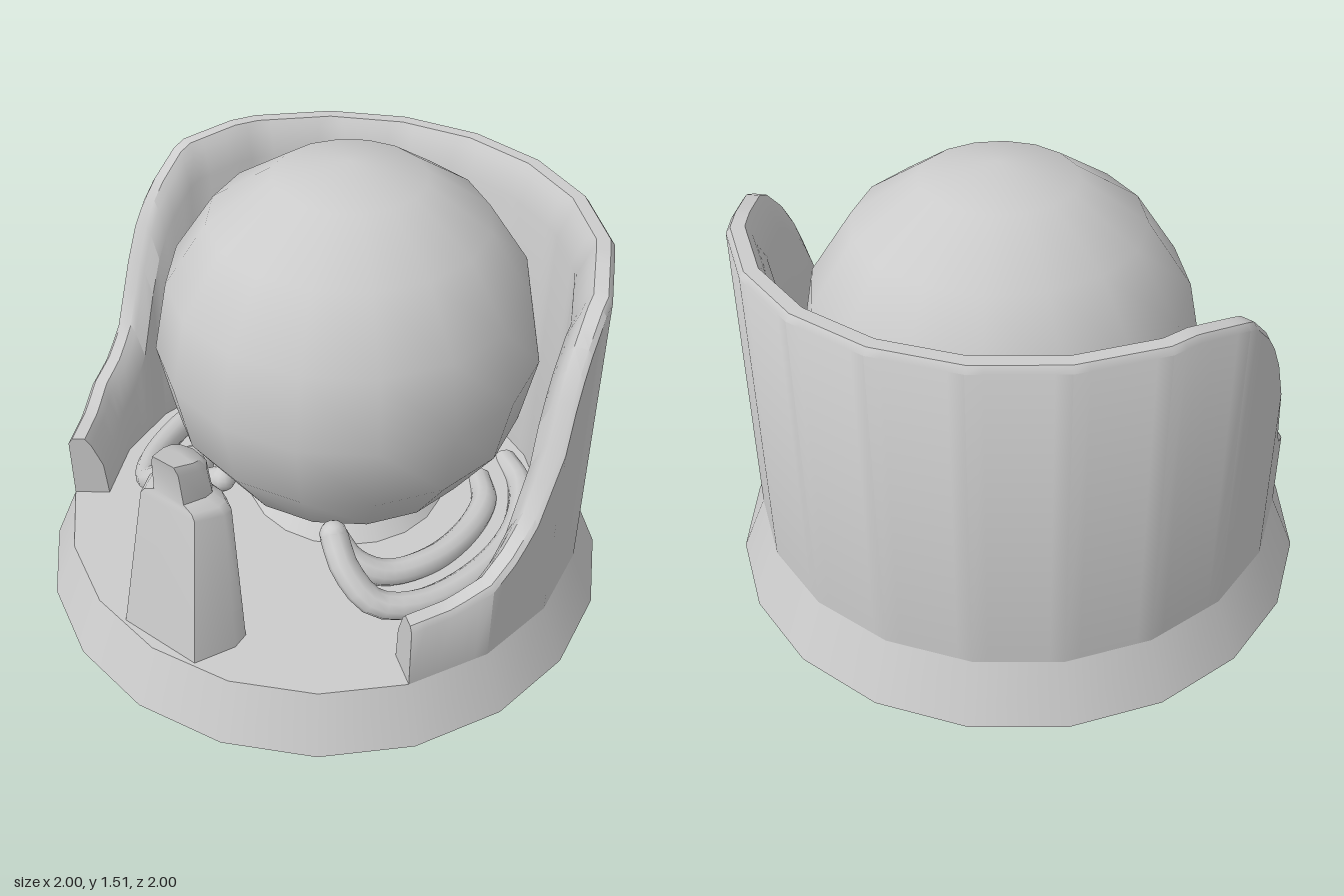
import * as THREE from 'three';
import { toCreasedNormals } from 'three/addons/utils/BufferGeometryUtils.js';

const SIDES = 20, STEP = (Math.PI * 2) / SIDES, DEG = Math.PI / 180;
const BALL = { r: 0.655, y: 0.855, z: -0.13 };

// Point on a 20-sided outline; angle runs from +x towards the back
function onOutline(r, a) {
  const t = (((a % STEP) + STEP) % STEP) - STEP / 2;
  const d = (r * Math.cos(STEP / 2)) / Math.cos(t);
  return [d * Math.cos(a), d * Math.sin(a)];
}

// Skins a list of cross-sections, optionally closing the rings and ends
function loft(rings, { closed = false, capStart = false, capEnd = false, crease = 40 } = {}) {
  const pos = [];
  const n = rings[0].length;
  const tri = (...pts) => pts.forEach((p) => pos.push(p.x, p.y, p.z));
  for (let i = 0; i < rings.length - 1; i++) {
    for (let j = 0; j < (closed ? n : n - 1); j++) {
      const k = (j + 1) % n, a = rings[i], b = rings[i + 1];
      tri(a[j], b[j], b[k]);
      tri(a[j], b[k], a[k]);
    }
  }
  const cap = (ring, flip) => {
    const c = ring.reduce((s, p) => s.add(p), new THREE.Vector3()).divideScalar(n);
    for (let j = 0; j < n; j++) {
      const k = (j + 1) % n;
      if (flip) tri(c, ring[k], ring[j]);
      else tri(c, ring[j], ring[k]);
    }
  };
  if (capStart) cap(rings[0], false);
  if (capEnd) cap(rings[rings.length - 1], true);
  const g = new THREE.BufferGeometry();
  g.setAttribute('position', new THREE.Float32BufferAttribute(pos, 3));
  return toCreasedNormals(g, crease * DEG);
}

// Wall height against depth: low at the front arms, sweeping up to the back
const WALL_TOP = [[0.54, 0.45], [0.4, 0.455], [0.28, 0.5], [0.19, 0.55], [0.1, 0.64], [0, 0.88],
  [-0.06, 1.05], [-0.13, 1.15], [-0.25, 1.26], [-0.45, 1.3], [-1, 1.3]];
function wallTop(z) {
  if (z >= WALL_TOP[0][0]) return WALL_TOP[0][1];
  const i = WALL_TOP.findIndex(([d]) => d <= z);
  const [z0, y0] = WALL_TOP[i - 1], [z1, y1] = WALL_TOP[i];
  return y0 + ((y1 - y0) * (z - z0)) / (z1 - z0);
}

function wallGeometry() {
  const rings = [];
  for (let a = -36; a <= 216; a += 3) {
    const h = wallTop(-onOutline(0.915, a * DEG)[1]);
    const profile = [[0.915, 0.2], [0.915, h - 0.02], [0.9, h], [0.855, h],
      [0.835, h - 0.03], [0.8, h - 0.12], [0.79, 0.2]];
    rings.push(profile.map(([r, y]) => {
      const [x, s] = onOutline(r, a * DEG);
      return new THREE.Vector3(x, y, -s);
    }));
  }
  return loft(rings, { capStart: true, capEnd: true });
}

// Post cross-section: flat front, rounded back
function postRing([halfWidth, zBack, zFront, yBack, yFront]) {
  const half = [[0.65, 0.08], [0.97, 0.27], [1, 0.5], [0.72, 1]];
  const outline = [[0, 0], ...half, ...half.map(([u, v]) => [-u, v]).reverse()];
  return outline.map(([u, v]) => new THREE.Vector3(
    u * halfWidth, yBack + (yFront - yBack) * v, zBack + (zFront - zBack) * v));
}

function floorGeometry(postBase) {
  const shape = new THREE.Shape();
  const pts = [];
  for (let a = -36; a <= 216; a += 18) pts.push(onOutline(0.79, a * DEG));
  for (let a = 216; a <= 324; a += 18) pts.push(onOutline(0.915, a * DEG));
  shape.setFromPoints(pts.map(([x, y]) => new THREE.Vector2(x, y)));
  shape.holes.push(new THREE.Path(postBase.map((p) => new THREE.Vector2(p.x, -p.z))));
  shape.holes.push(new THREE.Path().absarc(0, -BALL.z, 0.36, 0, Math.PI * 2, true));
  return new THREE.ShapeGeometry(shape, 10).rotateX(-Math.PI / 2).translate(0, 0.2, 0);
}

export function createModel() {
  const model = new THREE.Group();
  model.name = 'ballHolder';
  const material = new THREE.MeshStandardMaterial({ color: 0xcccccc, side: THREE.DoubleSide });
  const add = (name, geometry, parent = model) => {
    const mesh = new THREE.Mesh(geometry, material);
    mesh.name = name;
    parent.add(mesh);
    return mesh;
  };

  // Flared foot, open underneath
  add('baseSkirt', new THREE.CylinderGeometry(0.915, 1, 0.2, SIDES, 1, true).translate(0, 0.1, 0));

  // Curved wall around the back and sides
  add('surroundWall', wallGeometry());

  // Tapered post with a narrow slanted tip
  const postRings = [
    [0.21, 0.62, 0.88, 0.2, 0.2],
    [0.155, 0.62, 0.79, 0.7, 0.72],
    [0.135, 0.625, 0.785, 0.725, 0.74],
    [0.085, 0.635, 0.78, 0.74, 0.755],
    [0.075, 0.645, 0.785, 0.84, 0.87],
    [0.06, 0.66, 0.79, 0.865, 0.9],
  ].map(postRing);
  add('frontPost', loft(postRings, { closed: true, capEnd: true, crease: 50 }));

  // Floor plate with openings for the post and the seat
  add('floor', floorGeometry(postRings[0]));

  // Low ring the ball rests in
  add('ballSeat', new THREE.CylinderGeometry(0.3, 0.36, 0.07, 20, 1, true).translate(0, 0.235, BALL.z));

  // Large ball
  add('ball', new THREE.SphereGeometry(BALL.r, 16, 8)).position.set(0, BALL.y, BALL.z);

  // Pairs of curved rods cradling the ball
  const rods = {
    outerRod: [[0.31, 0.46, 0.36], [0.39, 0.38, 0.4], [0.5, 0.29, 0.39], [0.6, 0.25, 0.27],
      [0.67, 0.23, 0], [0.65, 0.22, -0.25], [0.54, 0.2, -0.48], [0.4, 0.17, -0.6]],
    innerRod: [[0.25, 0.34, 0.27], [0.33, 0.29, 0.28], [0.42, 0.24, 0.22], [0.5, 0.22, 0.06],
      [0.52, 0.21, -0.13], [0.48, 0.2, -0.32], [0.38, 0.17, -0.45]],
  };
  for (const side of [1, -1]) {
    for (const [name, points] of Object.entries(rods)) {
      const rod = new THREE.Group();
      rod.name = (side > 0 ? 'left ' : 'right ') + name;
      const path = points.map(([x, y, z]) => new THREE.Vector3(x * side, y, z));
      add('rod', new THREE.TubeGeometry(new THREE.CatmullRomCurve3(path), 28, 0.047, 10), rod);
      add('rodTip', new THREE.SphereGeometry(0.047, 10, 8), rod).position.copy(path[0]);
      model.add(rod);
    }
  }
  return model;
}
